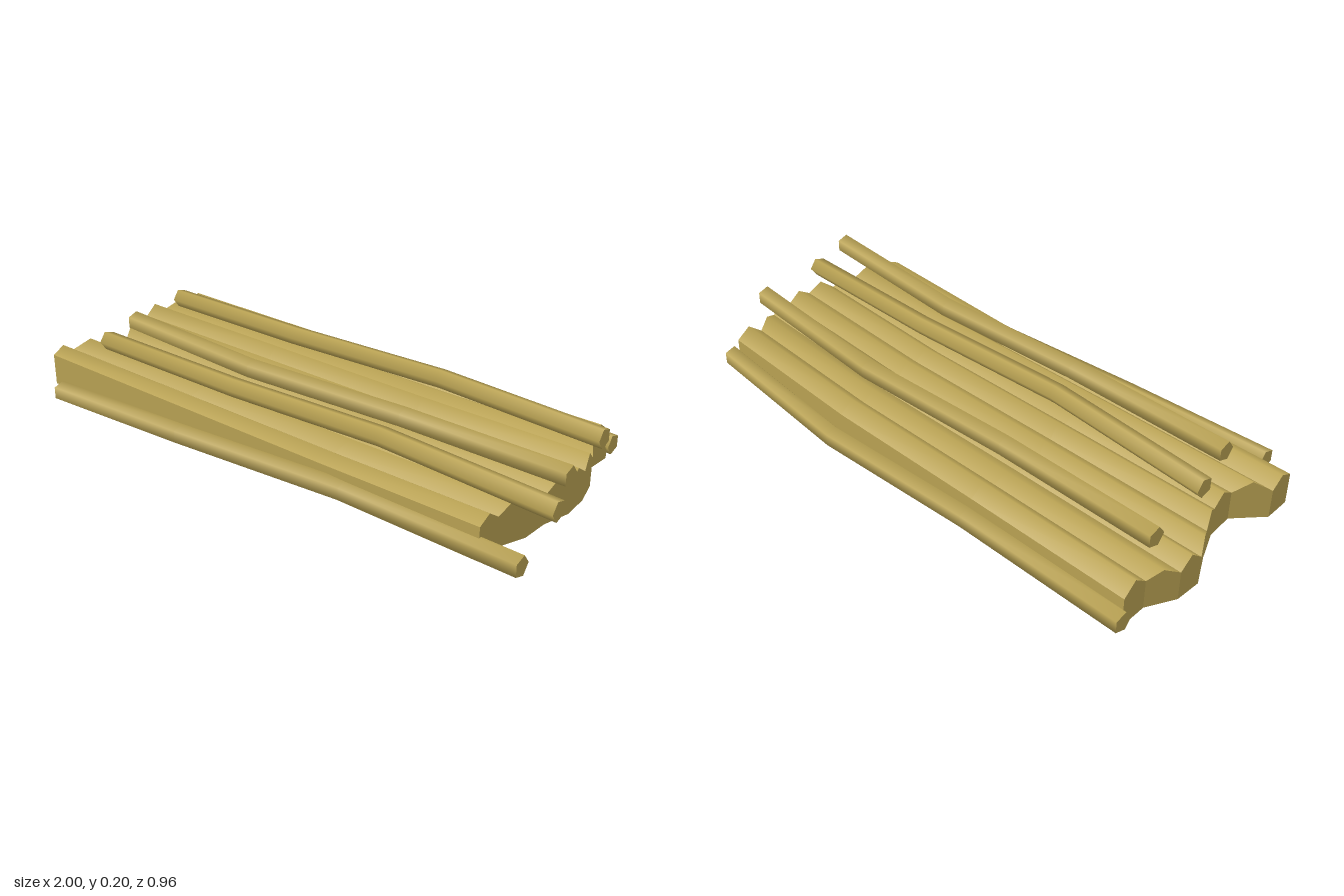
import * as THREE from 'three';

const straw = new THREE.MeshStandardMaterial({ color: 0xb9a253, side: THREE.DoubleSide });
straw.name = 'straw';

// Surface through rows of points, smooth inside one patch
function patch(rows) {
  const n = rows[0].length, pos = [], index = [];
  rows.forEach(row => row.forEach(p => pos.push(...p)));
  for (let i = 0; i < rows.length - 1; i++) {
    for (let j = 0; j < n - 1; j++) {
      const a = i * n + j, b = a + n;
      index.push(a, b, a + 1, b, b + 1, a + 1);
    }
  }
  const g = new THREE.BufferGeometry();
  g.setAttribute('position', new THREE.Float32BufferAttribute(pos, 3));
  g.setIndex(index);
  g.computeVertexNormals();
  return g;
}

function add(parent, geometry, name) {
  const m = new THREE.Mesh(geometry, straw);
  m.name = name;
  parent.add(m);
}

// Valleys of the bed: z, left-hand end x, right-hand end x, height
const valleys = [
  [-0.39, -0.96, 0.81, 0.1], [-0.295, -0.955, 0.805, 0.1], [-0.2, -1.0, 0.86, 0.1],
  [-0.11, -1.0, 0.885, 0.1], [-0.015, -0.945, 0.892, 0.102], [0.08, -0.9, 0.868, 0.1],
  [0.175, -0.89, 0.865, 0.1], [0.27, -0.97, 0.83, 0.1], [0.363, -0.965, 0.83, 0.11],
];
const peakHeights = [0.137, 0.125, 0.137, 0.132, 0.137, 0.132, 0.137, 0.132];
const sections = [[0, 0, 0], [0.33, -0.004, -0.004], [0.67, -0.01, -0.01], [1, 0, 0]]; // u, z bow, y sag

const along = ([z, x0, x1, y], height = y) => sections.map(([u, dz, dy]) =>
  [x0 + (x1 - x0) * u, height > 0 ? height + dy : 0, z + dz]);
const floor = line => line.map(([x, , z]) => [x, 0, z]);

// Ridged bed, open underneath
function createBed() {
  const bed = new THREE.Group();
  bed.name = 'ridgedBed';
  for (let i = 0; i < valleys.length - 1; i++) {
    const a = valleys[i], b = valleys[i + 1];
    const peak = a.map((v, k) => (v + b[k]) / 2);
    peak[3] = peakHeights[i];
    const lines = [along(a), along(peak), along(b)];
    add(bed, patch(lines), 'ridge');
    const left = lines.map(l => l[0]);
    const right = lines.map(l => l[l.length - 1]).reverse();
    add(bed, patch([left, floor(left)]), 'leftEndWall');
    add(bed, patch([right, floor(right)]), 'rightEndWall');
  }
  const back = along(valleys[0]), front = along(valleys[valleys.length - 1]);
  add(bed, patch([floor(back), back]), 'backWall');
  add(bed, patch([front, floor(front)]), 'frontWall');
  return bed;
}

// Five-sided bent pole; tip is the z direction its corner points to
function createPole(path, y, tip, name) {
  const pole = new THREE.Group(), r = 0.034, rows = [];
  pole.name = name;
  for (let k = 0; k <= 5; k++) {
    const t = tip * k * Math.PI * 2 / 5;
    const c = tip * Math.cos(t) * r, s = Math.sin(t) * r;
    rows.push(path.map(([x, z]) => [x, y - s * 1, z + c]));
  }
  // keep the seam smooth by sharing the first row's normals with the last
  const side = patch(rows);
  const nrm = side.attributes.normal, n = path.length;
  for (let j = 0; j < n; j++) {
    const v = new THREE.Vector3(0, 0, 0);
    v.fromBufferAttribute(nrm, j);
    v.add(new THREE.Vector3().fromBufferAttribute(nrm, 5 * n + j)).normalize();
    nrm.setXYZ(j, v.x, v.y, v.z);
    nrm.setXYZ(5 * n + j, v.x, v.y, v.z);
  }
  add(pole, side, 'poleSide');
  // flat end caps
  for (const [x, z, dir] of [[...path[0], -1], [...path[n - 1], 1]]) {
    const cap = new THREE.CircleGeometry(r, 5, tip > 0 ? Math.PI : 0);
    if (dir < 0) cap.scale(-1, 1, 1);
    cap.rotateY(dir * Math.PI / 2);
    if (dir < 0) cap.index.array.reverse();
    cap.computeVertexNormals();
    cap.translate(x, y, z);
    add(pole, cap, 'poleEnd');
  }
  return pole;
}

export function createModel() {
  const model = new THREE.Group();
  model.name = 'poleRaft';
  model.add(createBed());
  const low = 0.044, high = 0.172;
  model.add(
    createPole([[-0.98, -0.413], [-0.38, -0.42], [0.2, -0.455], [0.82, -0.413]], low, 1, 'backPole'),
    createPole([[-0.91, -0.205], [-0.33, -0.21], [0.27, -0.243], [0.89, -0.205]], high, 1, 'topBackPole'),
    createPole([[-0.87, 0.062], [-0.25, 0.1], [0.35, 0.065], [0.93, 0.062]], high, -1, 'topMiddlePole'),
    createPole([[-0.81, 0.243], [-0.2, 0.24], [0.37, 0.207], [1.0, 0.245]], high, 1, 'topFrontPole'),
    createPole([[-0.83, 0.447], [-0.28, 0.413], [0.35, 0.358], [0.97, 0.368]], low, -1, 'frontPole'),
  );
  return model;
}
